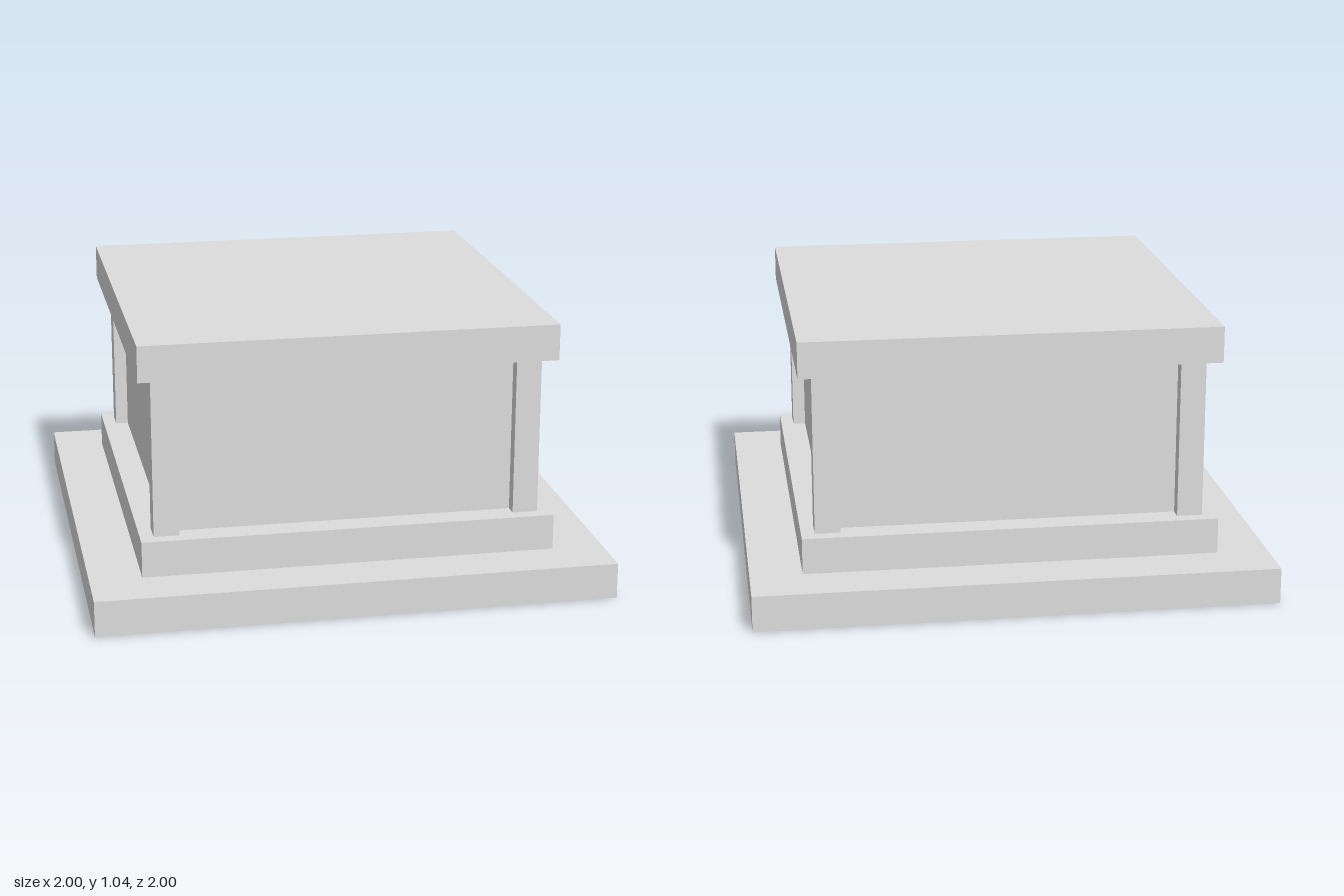
import * as THREE from 'three';

// Square pedestal: stepped base, recessed block, four corner posts, cap slab
export function createModel() {
  const group = new THREE.Group();
  group.name = 'pedestal';

  const stone = new THREE.MeshStandardMaterial({ color: 0xdddddd });
  stone.name = 'light grey stone';

  // Square slab of a given width between two heights
  const slab = (name, width, bottom, top, x = 0, z = 0) => {
    const mesh = new THREE.Mesh(new THREE.BoxGeometry(width, top - bottom, width), stone);
    mesh.name = name;
    mesh.position.set(x, (bottom + top) / 2, z);
    group.add(mesh);
  };

  const step = 0.14;
  const capBottom = 0.903;

  slab('lowerStep', 2, 0, step);
  slab('upperStep', 1.6, step, step * 2);
  slab('body', 1.394, step * 2, capBottom);
  slab('cap', 1.6, capBottom, capBottom + step);

  // Corner posts, standing proud of the body
  const postWidth = 0.098;
  const offset = 0.748 - postWidth / 2;
  for (const [sx, side] of [[1, 'Left'], [-1, 'Right']]) {
    for (const [sz, end] of [[1, 'front'], [-1, 'back']]) {
      slab(`${end}${side}Post`, postWidth, step * 2, capBottom, sx * offset, sz * offset);
    }
  }

  return group;
}
